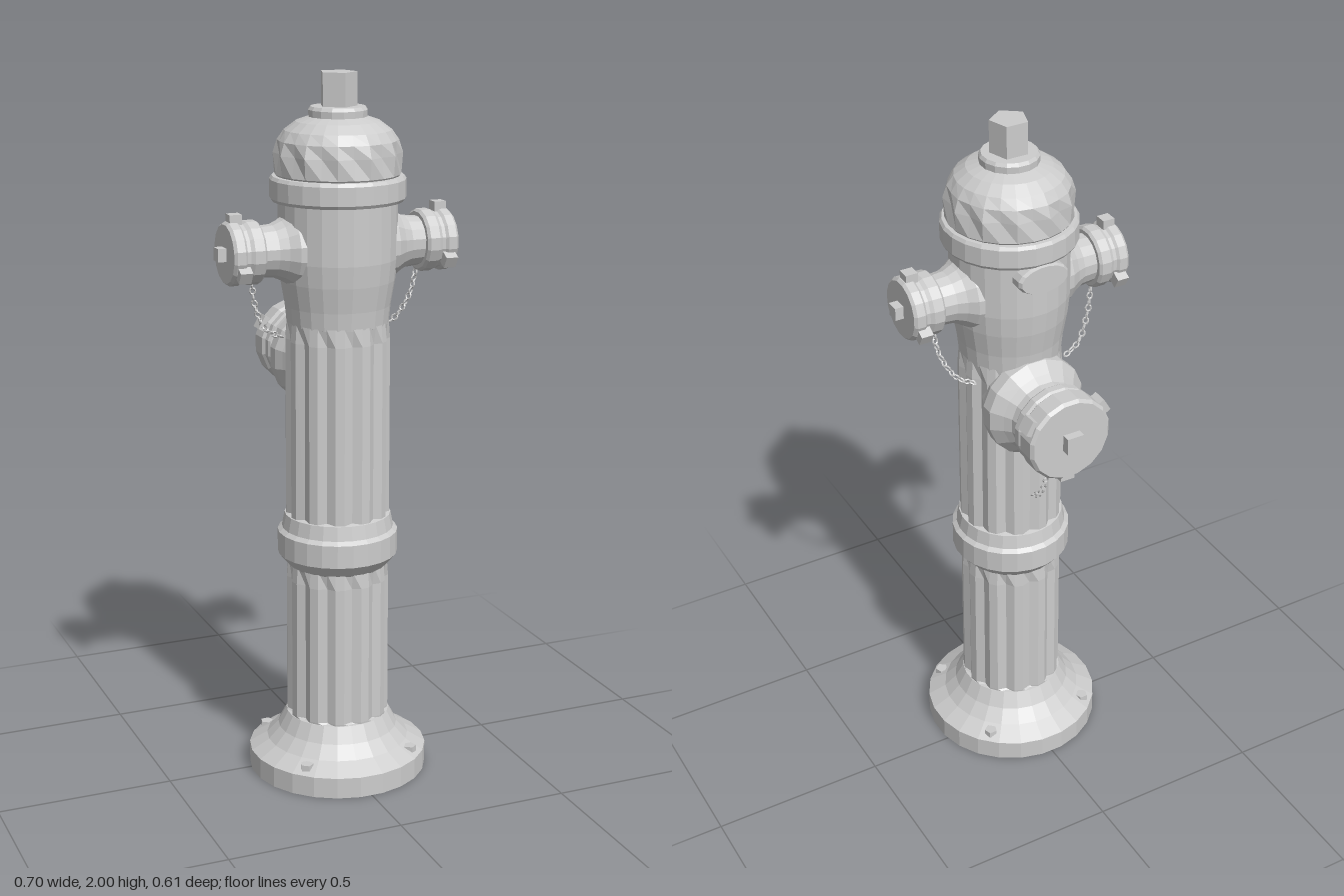
import * as THREE from 'three';

const iron = new THREE.MeshStandardMaterial({ color: 0xcccccc, flatShading: true });
iron.name = 'cast iron';
const AXIS_Z = 0.05; // the column stands slightly forward of the centre

function part(parent, name, geometry, x = 0, y = 0, z = 0) {
  const flat = geometry.index ? geometry.toNonIndexed() : geometry;
  flat.computeVertexNormals();
  const mesh = new THREE.Mesh(flat, iron);
  mesh.name = name;
  mesh.position.set(x, y, z);
  parent.add(mesh);
  return mesh;
}

// Turned shape from [radius, height, grooveDepth] rows; every `period`-th column is cut in.
function turned(rows, sides, period = 0) {
  const points = rows.map(([r, y]) => new THREE.Vector2(r, y));
  const geometry = new THREE.LatheGeometry(points, sides, Math.PI / sides);
  const p = geometry.attributes.position;
  if (period) {
    for (let i = 0; i < p.count; i++) {
      const [r, , depth = 0] = rows[i % rows.length];
      const column = Math.floor(i / rows.length);
      if (r > 0 && column % period === period - 1) {
        const k = (r - depth) / r;
        p.setX(i, p.getX(i) * k);
        p.setZ(i, p.getZ(i) * k);
      }
    }
  }
  return geometry;
}

// Hose outlet pointing along its own +y, with cap, three lugs and a square nut.
function outlet(name, { neck, cap, capRadius, lugAt, lug, nut, end, phase, sides }) {
  const group = new THREE.Group();
  group.name = name;
  part(group, 'outletNeck', turned(neck, sides));
  part(group, 'outletCap', turned(cap, sides));
  part(group, 'capNut', new THREE.BoxGeometry(nut, 0.05, nut), 0, end - 0.025, 0);
  for (let i = 0; i < 3; i++) {
    const a = phase + (i * Math.PI * 2) / 3;
    const m = part(group, 'capLug', new THREE.BoxGeometry(0.032, lug, lug),
      Math.cos(a) * capRadius, lugAt, Math.sin(a) * capRadius);
    m.rotation.y = -a;
  }
  return group;
}

// Chain of alternating oval links along a curve.
function chain(name, points, count) {
  const group = new THREE.Group();
  group.name = name;
  const curve = new THREE.CatmullRomCurve3(points.map((p) => new THREE.Vector3(...p)));
  const step = curve.getLength() / count;
  for (let i = 0; i < count; i++) {
    const t = (i + 0.5) / count;
    const g = new THREE.TorusGeometry(0.0075, 0.0028, 4, 8);
    g.scale(1, (step * 0.68) / 0.0103, 1);
    g.rotateY((i % 2) * Math.PI / 2);
    const link = part(group, 'chainLink', g);
    link.position.copy(curve.getPointAt(t));
    link.quaternion.setFromUnitVectors(new THREE.Vector3(0, 1, 0), curve.getTangentAt(t));
  }
  return group;
}

export function createModel() {
  const model = new THREE.Group();
  model.name = 'fireHydrant';
  const column = new THREE.Group();
  column.name = 'column';
  column.position.z = AXIS_Z;
  model.add(column);

  // Flared foot
  part(column, 'base', turned([
    [0, 0], [0.256, 0], [0.256, 0.06], [0.205, 0.09], [0.172, 0.125], [0.148, 0.17], [0.13, 0.172],
  ], 24));
  for (let i = 0; i < 4; i++) {
    const a = Math.PI / 4 + (i * Math.PI) / 2;
    part(column, 'baseBolt', new THREE.CylinderGeometry(0.019, 0.019, 0.03, 5),
      Math.cos(a) * 0.226, 0.07, Math.sin(a) * 0.226);
  }

  // Fluted lower and upper barrels
  const barrel = (y0, y1) => turned([
    [0.145, y0], [0.146, y0 + 0.01, 0.012], [0.145, y1 - 0.05, 0.012], [0.141, y1],
  ], 36, 3);
  part(column, 'lowerBarrel', barrel(0.165, 0.63));
  part(column, 'upperBarrel', barrel(0.76, 1.325));

  // Joint ring between the barrels
  part(column, 'jointRing', turned([
    [0.13, 0.61], [0.145, 0.625], [0.17, 0.655], [0.17, 0.72], [0.158, 0.73], [0.15, 0.77], [0.13, 0.775],
  ], 24));

  // Head and its collar
  part(column, 'head', turned([
    [0.13, 1.315], [0.141, 1.32], [0.146, 1.37], [0.158, 1.44], [0.164, 1.5], [0.164, 1.665],
  ], 24));
  part(column, 'headCollar', turned([
    [0.15, 1.655], [0.18, 1.657], [0.186, 1.666], [0.186, 1.716], [0.18, 1.725], [0.15, 1.727],
  ], 24));

  // Scalloped bonnet, top collar and pentagonal operating nut
  part(column, 'bonnet', turned([
    [0.165, 1.72], [0.172, 1.73], [0.176, 1.785, 0.014], [0.165, 1.82, 0.003],
    [0.146, 1.847], [0.115, 1.87], [0.08, 1.882], [0, 1.884],
  ], 24, 2));
  part(column, 'topCollar', turned([
    [0.08, 1.87], [0.081, 1.9], [0.075, 1.909], [0, 1.91],
  ], 16));
  part(column, 'operatingNut', new THREE.CylinderGeometry(0.053, 0.053, 0.1, 5), 0, 1.95, 0);

  // Side outlets
  const side = {
    neck: [[0.108, 0.1], [0.1, 0.145], [0.083, 0.17], [0.072, 0.195], [0.068, 0.245]],
    cap: [[0.06, 0.235], [0.08, 0.235], [0.087, 0.242], [0.087, 0.27], [0.081, 0.28],
      [0.081, 0.29], [0.087, 0.297], [0.087, 0.32], [0.08, 0.328], [0, 0.328]],
    capRadius: 0.09, lugAt: 0.3, lug: 0.035, nut: 0.036, end: 0.352, sides: 16,
  };
  for (const s of [1, -1]) {
    const o = outlet(s > 0 ? 'leftOutlet' : 'rightOutlet', { ...side, phase: s > 0 ? Math.PI : 0 });
    o.rotation.z = (-s * Math.PI) / 2;
    o.position.set(0, 1.53, AXIS_Z);
    model.add(o);
    model.add(chain(s > 0 ? 'leftChain' : 'rightChain', [
      [s * 0.245, 1.445, 0.03], [s * 0.23, 1.37, 0.02], [s * 0.19, 1.3, 0], [s * 0.14, 1.273, -0.01],
    ], 12));
  }

  // Large rear outlet
  const rear = outlet('rearOutlet', {
    neck: [[0.12, 0.0], [0.134, 0.035], [0.147, 0.06], [0.147, 0.095], [0.12, 0.125], [0.105, 0.145], [0.1, 0.185]],
    cap: [[0.09, 0.178], [0.115, 0.178], [0.12, 0.185], [0.12, 0.205], [0.115, 0.212],
      [0.124, 0.222], [0.124, 0.274], [0.116, 0.283], [0, 0.283]],
    capRadius: 0.122, lugAt: 0.247, lug: 0.043, nut: 0.05, end: 0.307, phase: Math.PI / 6, sides: 16,
  });
  rear.rotation.x = -Math.PI / 2;
  rear.position.set(0, 1.2, 0);
  model.add(rear);
  model.add(chain('rearChain', [
    [0.01, 1.085, -0.187], [0.012, 1.0, -0.17], [0.006, 0.93, -0.13], [0, 0.89, -0.08],
  ], 13));

  // Oval pad on the back of the head
  const pad = turned([[1, 0], [1, 0.04], [0.92, 0.05], [0, 0.05]], 16);
  pad.scale(0.075, 1, 0.042);
  pad.rotateX(-Math.PI / 2);
  part(model, 'ovalPad', pad, 0, 1.62, -0.088);

  return model;
}
